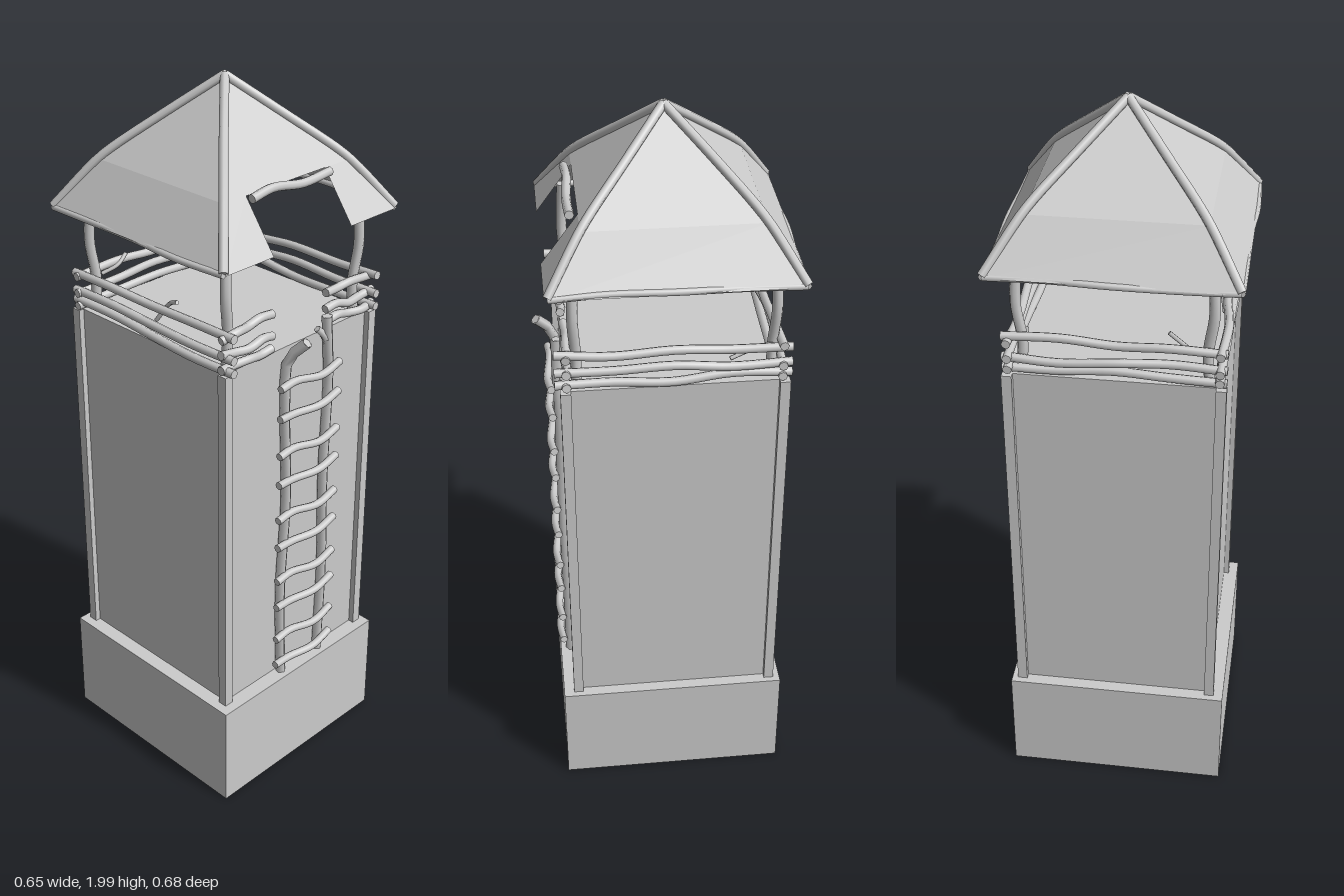
import * as THREE from 'three';

const mat = new THREE.MeshStandardMaterial({ color: 0xcccccc, side: THREE.DoubleSide });
const flat = new THREE.MeshStandardMaterial({ color: 0xcccccc, side: THREE.DoubleSide, flatShading: true });
const CX = 0.005, CZ = -0.01;
const V = (x, y, z) => new THREE.Vector3(x, y, z);

let seed = 7;
function wobble(amount) {
  seed = (seed * 16807) % 2147483647;
  return (seed / 2147483647 - 0.5) * 2 * amount;
}

function add(parent, name, geometry, material = mat) {
  const mesh = new THREE.Mesh(geometry, material);
  mesh.name = name;
  parent.add(mesh);
  return mesh;
}

// Round stick along a curve, closed at both ends
function stick(parent, name, points, radius, sides = 8) {
  const group = new THREE.Group();
  group.name = name;
  const curve = new THREE.CatmullRomCurve3(points);
  add(group, 'bark', new THREE.TubeGeometry(curve, points.length * 4, radius, sides));
  for (const t of [0, 1]) {
    const cap = add(group, 'cutEnd', new THREE.CircleGeometry(radius, sides));
    const p = curve.getPoint(t);
    cap.position.copy(p);
    cap.lookAt(p.clone().addScaledVector(curve.getTangent(t), t ? 1 : -1));
  }
  parent.add(group);
}

// Slightly crooked log from a to b
function log(parent, name, a, b, radius, bend = 0.008, n = 4) {
  const points = [];
  for (let i = 0; i <= n; i++) {
    const p = a.clone().lerp(b, i / n);
    if (i > 0 && i < n) p.add(V(wobble(bend), wobble(bend), wobble(bend)));
    points.push(p);
  }
  stick(parent, name, points, radius);
}

// Flat-faced surface made of quads, each given as four corners
function quads(list) {
  const pos = [];
  for (const [a, b, c, d] of list) for (const p of [a, b, c, a, c, d]) pos.push(p.x, p.y, p.z);
  const g = new THREE.BufferGeometry();
  g.setAttribute('position', new THREE.Float32BufferAttribute(pos, 3));
  g.computeVertexNormals();
  return g;
}

function makeBase(model) {
  // Hollow plinth, open underneath
  const plinth = new THREE.BoxGeometry(0.614, 0.31, 0.63).toNonIndexed();
  for (const name of ['position', 'normal', 'uv']) {
    const at = plinth.getAttribute(name), n = at.itemSize;
    const kept = [...at.array.slice(0, 18 * n), ...at.array.slice(24 * n)];
    plinth.setAttribute(name, new THREE.Float32BufferAttribute(kept, n));
  }
  plinth.clearGroups();
  add(model, 'plinth', plinth).position.set(0, 0.155, -0.005);
}

function makeTower(model) {
  add(model, 'towerWalls', new THREE.BoxGeometry(0.54, 1.035, 0.55)).position.set(CX, 0.8275, CZ);
  for (const sx of [-1, 1]) for (const sz of [-1, 1]) {
    add(model, 'cornerPost', new THREE.BoxGeometry(0.027, 1.035, 0.027))
      .position.set(CX + sx * 0.272, 0.8275, CZ + sz * 0.278);
    // Bowed posts carrying the roof
    const x = CX + sx * 0.24, z = CZ + sz * 0.248;
    stick(model, 'roofPost', [V(x, 1.34, z), V(x - sx * 0.006, 1.43, z),
      V(x + sx * 0.007, 1.54, z + sz * 0.006), V(x, 1.67, z)], 0.014);
  }
}

function makeRailing(model) {
  const railing = new THREE.Group();
  railing.name = 'railing';
  model.add(railing);
  for (const y of [1.362, 1.395, 1.447]) {
    const j = () => y + wobble(0.007);
    for (const s of [-1, 1])
      log(railing, 'sideRail', V(CX + s * 0.268, j(), 0.295), V(CX + s * 0.268, j(), -0.305), 0.012);
    log(railing, 'backRail', V(-0.28, j(), -0.28), V(0.29, j(), -0.28), 0.012);
    // The front is open at the ladder
    log(railing, 'frontRailRight', V(-0.28, j(), 0.265), V(-0.095, j(), 0.262), 0.012);
    log(railing, 'frontRailLeft', V(0.29, j(), 0.265), V(0.105, j(), 0.262), 0.012);
  }
  // Loose twigs woven into the rails
  stick(railing, 'twig', [V(-0.2, 1.43, -0.27), V(-0.16, 1.45, -0.25), V(-0.13, 1.475, -0.25)], 0.006, 5);
  stick(railing, 'twig', [V(-0.25, 1.475, 0.08), V(-0.24, 1.455, 0.04), V(-0.25, 1.4, 0)], 0.006, 5);
  stick(railing, 'twig', [V(0.25, 1.4, -0.15), V(0.24, 1.42, -0.21), V(0.25, 1.44, -0.26)], 0.006, 5);
}

function makeLadder(model) {
  const ladder = new THREE.Group();
  ladder.name = 'ladder';
  model.add(ladder);
  stick(ladder, 'ladderRailRight', [V(-0.055, 0.31, 0.28), V(-0.063, 0.6, 0.28), V(-0.05, 0.9, 0.282),
    V(-0.06, 1.2, 0.28), V(-0.055, 1.32, 0.285), V(-0.037, 1.375, 0.33)], 0.015, 5);
  stick(ladder, 'ladderRailLeft', [V(0.1, 0.31, 0.28), V(0.108, 0.6, 0.28), V(0.098, 0.9, 0.282),
    V(0.108, 1.2, 0.28), V(0.1, 1.3, 0.282), V(0.094, 1.39, 0.28)], 0.015, 5);
  stick(ladder, 'branchStub', [V(0.1, 1.3, 0.28), V(0.085, 1.335, 0.28), V(0.065, 1.36, 0.272)], 0.01, 5);
  for (let i = 0; i < 10; i++) {
    const y = 0.36 + i * 0.1 + (i % 2 ? -0.008 : 0.004);
    const s = i % 2 ? 1 : -1;
    stick(ladder, 'rung', [V(-0.1, y, 0.3), V(-0.04, y + 0.004 * s, 0.297), V(0.05, y - 0.008, 0.307),
      V(0.128, y + 0.003, 0.3)], 0.011);
  }
}

function makeRoof(model) {
  const roof = new THREE.Group();
  roof.name = 'roof';
  model.add(roof);
  const top = V(CX, 1.978, CZ + 0.003);
  const kink = 0.226, eave = 0.313, yK = 1.765, yE = 1.635;
  const at = (u, out, y, k) => { // point on side k, u across and out from the middle
    const p = V(u, 0, out).applyAxisAngle(V(0, 1, 0), k * Math.PI / 2);
    return V(CX + p.x, y, CZ + p.z);
  };
  const faces = [];
  for (let k = 0; k < 4; k++) {
    // Steep upper slope
    faces.push([at(-kink, kink, yK, k), at(kink, kink, yK, k), top, top]);
    // Lower skirt, with a lookout opening in the front
    const strips = k ? [[-eave, eave, -kink, kink]]
      : [[-eave, -0.15, -kink, -0.15], [0.133, eave, 0.133, kink]];
    for (const [a, b, c, d] of strips)
      faces.push([at(a, eave + 0.008, yE, k), at(b, eave + 0.008, yE, k), at(d, kink, yK, k), at(c, kink, yK, k)]);
    // Ridge pole down each hip
    const hip = (r, y) => at(r, r, y, k);
    stick(roof, 'ridgePole', [top.clone().setY(1.984), hip(0.11, 1.882), hip(0.2, 1.797), hip(0.232, 1.76),
      hip(eave, yE + 0.004)], 0.012);
    if (k) log(roof, 'eavePole', at(-eave, eave, yE, k), at(eave, eave, yE, k), 0.009, 0.006);
  }
  add(roof, 'roofCovering', quads(faces), flat);
  stick(roof, 'openingBeam', [V(-0.145, 1.762, 0.235), V(-0.07, 1.77, 0.232), V(0.03, 1.757, 0.238),
    V(0.135, 1.762, 0.236)], 0.012);
}

export function createModel() {
  const model = new THREE.Group();
  model.name = 'watchtower';
  makeBase(model);
  makeTower(model);
  makeRailing(model);
  makeLadder(model);
  makeRoof(model);
  return model;
}
